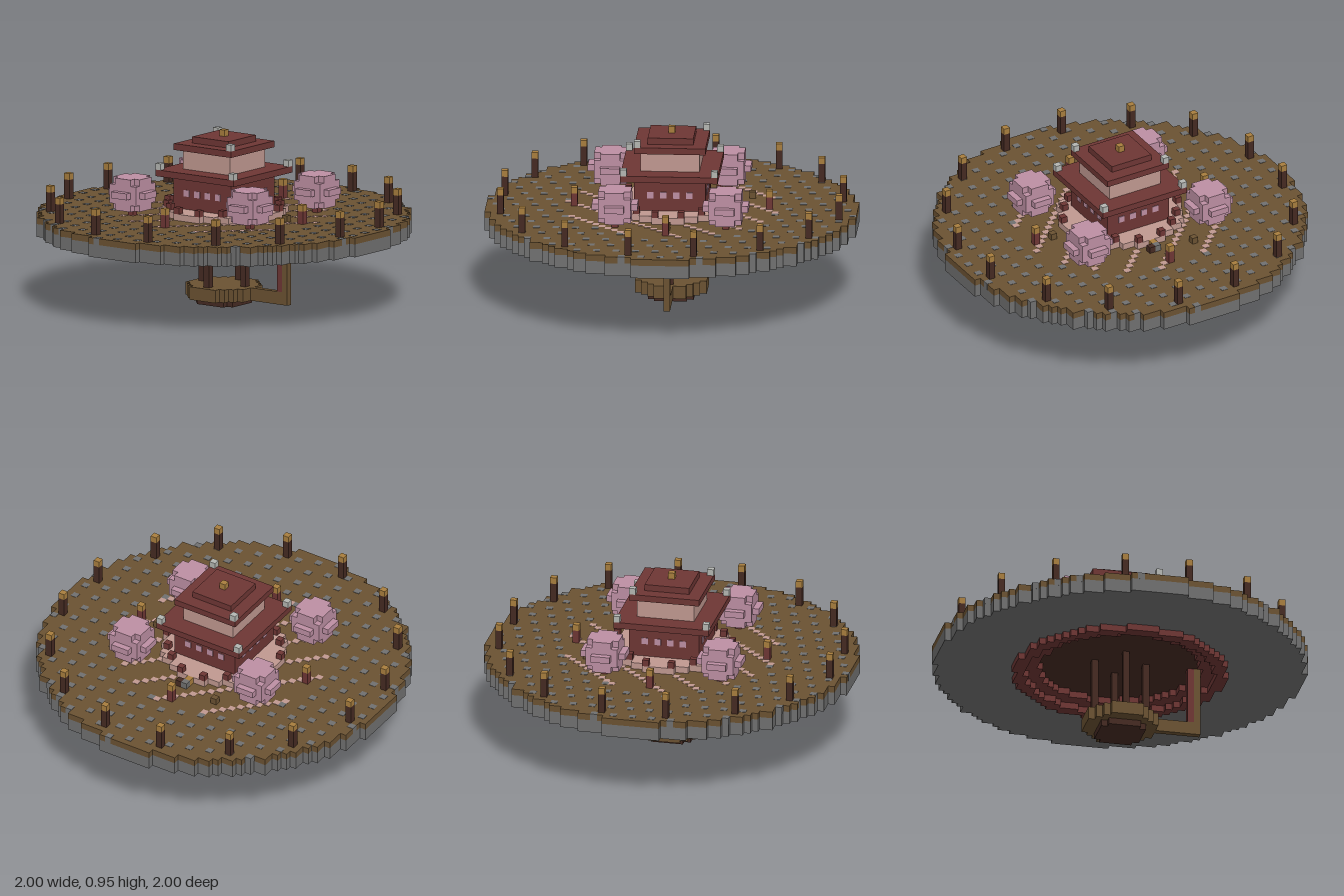
import * as THREE from 'three';
import { mergeGeometries } from 'three/addons/utils/BufferGeometryUtils.js';

const V = 2 / 57; // one block
const mat = (name, color) => new THREE.MeshStandardMaterial({ name, color });

// Stepped circle outline on the block grid, from a squared radius
function steppedOutline(r2, Type = THREE.Shape) {
  const R = Math.floor(Math.sqrt(r2));
  const right = [], left = [];
  for (let z = -R; z <= R; z++) {
    const w = Math.floor(Math.sqrt(r2 - z * z)) + 0.5;
    right.push(new THREE.Vector2(w, z - 0.5), new THREE.Vector2(w, z + 0.5));
    left.unshift(new THREE.Vector2(-w, z + 0.5), new THREE.Vector2(-w, z - 0.5));
  }
  return new Type([...right, ...left]);
}

// Stepped disc, or a ring when an inner squared radius is given
function disc(r2, y0, y1, inner = 0, cx = 0, cz = 0) {
  const shape = steppedOutline(r2);
  if (inner) shape.holes.push(steppedOutline(inner, THREE.Path));
  return new THREE.ExtrudeGeometry(shape, { depth: y1 - y0, bevelEnabled: false })
    .rotateX(Math.PI / 2).translate(cx, y1, cz);
}

// Box centred on block (x, z), from y0 to y1
function block(x, z, y0, y1, w = 1, d = w) {
  return new THREE.BoxGeometry(w, y1 - y0, d).translate(x, (y0 + y1) / 2, z);
}

export function createModel() {
  const model = new THREE.Group();
  model.name = 'islandShrine';
  const earth = mat('earth', 0x6b5232);
  const stone = mat('stone', 0x707070);
  const red = mat('redTimber', 0x6e3634);
  const wood = mat('darkWood', 0x452a22);
  const gold = mat('gold', 0xa87e3e);
  const plaster = mat('palePlaster', 0xc09890);
  const petal = mat('blossom', 0xbd8fa3);
  const silver = mat('paleStone', 0xb4b6b2);

  const add = (name, material, ...geos) => {
    const list = geos.map(g => (g.index ? g.toNonIndexed() : g));
    const mesh = new THREE.Mesh(mergeGeometries(list).scale(V, V, V), material);
    mesh.name = name;
    model.add(mesh);
  };

  // Round platform with a recessed underside
  add('stoneRim', stone, disc(800, 11, 13, 205));
  add('deck', earth, disc(800, 13, 14));
  add('undersideRing', red, disc(262, 10, 11, 205), disc(205, 11, 12, 150));
  add('undersideCeiling', wood, disc(205, 12, 13));

  // Paving spots and diagonal petal trails
  const spots = [], trails = [];
  for (let x = -28; x <= 28; x++) {
    for (let z = -28; z <= 28; z++) {
      const r2 = x * x + z * z;
      if (r2 > 800) continue;
      if (r2 > 262) {
        if ((x + 3 * z) % 9 === 0) spots.push(block(x, z, 13, 14.05, 1.03));
      } else if (r2 > 85 && (x + z) % 7 === 0) {
        trails.push(block(x, z, 13.9, 14.05));
      }
    }
  }
  add('pavingSpots', stone, ...spots);
  add('petalTrails', plaster, ...trails);

  // Hanging tray below, with posts and a side arm
  add('trayFoot', wood, disc(13, 0, 1));
  add('tray', earth, disc(29, 1, 3));
  add('trayArm', earth, block(9, 0, 1, 3, 7, 1));
  add('armPost', earth, block(12, 0, 3, 12));
  add('armPostInner', red, block(11, 0, 3, 12));
  add('trayPosts', wood, ...[[4, 0], [-4, 0], [0, 4], [0, -4]].map(([x, z]) => block(x, z, 3, 12)));

  // Lanterns around the edge and fence posts around the shrine
  const posts = [], caps = [], fence = [];
  for (let i = 0; i < 16; i++) {
    const a = (i + 0.5) * Math.PI / 8;
    const x = Math.round(27 * Math.cos(a)), z = Math.round(27 * Math.sin(a));
    posts.push(block(x, z, 14, 17));
    caps.push(block(x, z, 17, 18));
    fence.push(block(Math.round(9 * Math.cos(a)), Math.round(9 * Math.sin(a)), 15, 16));
  }
  add('lanternPosts', wood, ...posts);
  add('lanternCaps', gold, ...caps);
  add('fence', red, ...fence);

  // Short inner lanterns
  const cross = [[15, 0], [-15, 0], [0, 15], [0, -15]];
  add('shortLanternPosts', red, ...cross.map(([x, z]) => block(x, z, 14, 16)));
  add('shortLanternCaps', gold, ...cross.map(([x, z]) => block(x, z, 16, 17)));

  // Two-storey shrine
  add('shrineBase', plaster, disc(88, 14, 15));
  add('lowerWalls', red, block(0, 0, 15, 20, 11));
  add('lowerRoof', red, block(0, 0, 20, 21, 15));
  add('upperWalls', plaster, block(0, 0, 21, 24, 9));
  add('upperRoof', red, block(0, 0, 24, 25, 11));
  add('roofCrown', red, block(0, 0, 25, 26, 7));
  add('finial', gold, block(0, 0, 26, 27));
  const corners = [[7, 7], [7, -7], [-7, 7], [-7, -7]];
  add('lowerRoofCorners', silver, ...corners.map(([x, z]) => block(x, z, 21, 22)));
  add('upperRoofCorners', silver, block(5, 5, 25, 26), block(-5, -5, 25, 26));

  // Small windows on all four walls
  const panes = [];
  for (let side = 0; side < 4; side++) {
    for (const x of [-3, -1, 1, 3]) {
      panes.push(block(x, 5.5, 17, 18, 1, 0.2).rotateY(side * Math.PI / 2));
    }
  }
  add('windows', petal, ...panes);

  // Blossom trees
  for (const [x, z] of [[-11, -8], [11, -9], [11, 8], [-10, 10]]) {
    add('treeTrunk', red, block(x, z, 14, 16));
    const layers = [-2, -1, 0, 1, 2].map(k =>
      disc([10.5, 8.5, 5.5][Math.abs(k)], 17 + k, 18 + k, 0, x, z));
    add('treeBlossom', petal, ...layers);
  }

  // Small offering behind the shrine and loose deck blocks
  add('offeringStone', stone, block(0, -11, 14, 15));
  add('offeringSide', wood, block(1, -11, 14, 15));
  add('offeringGold', gold, block(0, -10, 14, 15));
  add('deckBlocks', earth, block(-6, -12, 14, 15), block(12, 0, 14, 15));

  return model;
}
